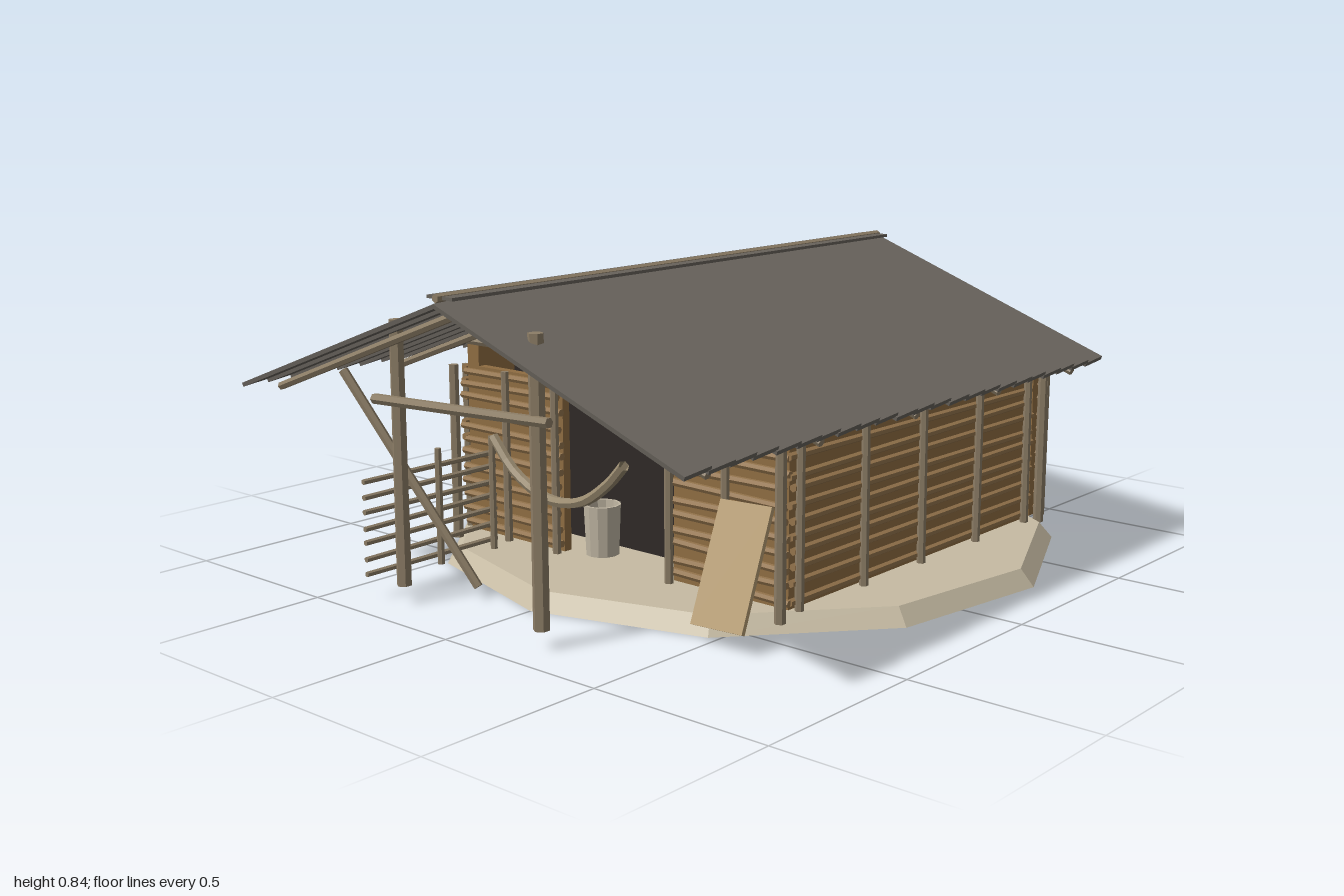
import * as THREE from 'three';

const mat = (color, extra = {}) =>
  new THREE.MeshStandardMaterial({ color, flatShading: true, ...extra });
const WOOD = mat(0x8c7d66), STICK = mat(0x94744c), MUD = mat(0x8f6d42);
const ROOF = mat(0x67625b), DARK = mat(0x2e2926), EARTH = mat(0xc6bba3);
const BOARD = mat(0xb59c72), CLAY = mat(0xbfb5a2);
const UP = new THREE.Vector3(0, 1, 0);

let seed = 7;
const jitter = (a) => {
  seed = (seed * 16807) % 2147483647;
  return (seed / 2147483647 - 0.5) * 2 * a;
};

export function createModel() {
  const model = new THREE.Group();

  const add = (name, geo, material, x = 0, y = 0, z = 0, parent = model) => {
    const m = new THREE.Mesh(geo, material);
    m.name = name;
    m.position.set(x, y, z);
    parent.add(m);
    return m;
  };
  const box = (name, x0, x1, y0, y1, z0, z1, material) =>
    add(name, new THREE.BoxGeometry(x1 - x0, y1 - y0, z1 - z0), material,
      (x0 + x1) / 2, (y0 + y1) / 2, (z0 + z1) / 2);
  // Slightly tapered six-sided pole between two points
  const pole = (name, a, b, r, material = WOOD, parent = model) => {
    const p = new THREE.Vector3(...a), q = new THREE.Vector3(...b);
    const d = q.clone().sub(p);
    const m = add(name, new THREE.CylinderGeometry(r * 0.93, r, d.length(), 6), material, 0, 0, 0, parent);
    m.position.copy(p.add(q).multiplyScalar(0.5));
    m.quaternion.setFromUnitVectors(UP, d.normalize());
    return m;
  };
  const group = (name) => {
    const g = new THREE.Group();
    g.name = name;
    model.add(g);
    return g;
  };
  // Wattle panel: stacked rails and upright stakes along one wall run;
  // at(t, y, out) turns run position, height and outward offset into a point
  const wattle = (name, at, t0, t1, stakes, rows = 12) => {
    const g = group(name);
    for (let i = 0; i < rows; i++) {
      const y = 0.07 + (i * 0.44) / (rows - 1);
      pole('rail', at(t0 + jitter(0.01), y + jitter(0.006), 0),
        at(t1 + jitter(0.01), y + jitter(0.006), 0), 0.0105, STICK, g);
    }
    for (const t of stakes)
      pole('stake', at(t, 0.045, 0.014), at(t + jitter(0.004), 0.525 + jitter(0.008), 0.014), 0.012, WOOD, g);
  };

  // Earth platform
  add('platform', new THREE.CylinderGeometry(0.838, 0.876, 0.045, 11), EARTH, 0, 0.0225, -0.158);

  // Mud walls around a dark interior
  box('interior', -0.53, 0.53, 0.045, 0.59, -0.74, 0.26, DARK);
  for (const s of [-1, 1]) {
    const [a, b] = s < 0 ? [-0.575, -0.53] : [0.53, 0.575];
    box('sideWall', a, b, 0.045, 0.6, -0.70, 0.395, MUD);
    const [c, d] = s < 0 ? [-0.55, -0.2] : [0.2, 0.55];
    box('frontWall', c, d, 0.045, 0.52, 0.37, 0.395, MUD);
  }
  const gable = (name, pts, z) => {
    const shape = new THREE.Shape(pts.map((p) => new THREE.Vector2(...p)));
    add(name, new THREE.ExtrudeGeometry(shape, { depth: 0.03, bevelEnabled: false }), MUD, 0, 0, z);
  };
  gable('backWall', [[-0.575, 0.045], [0.575, 0.045], [0.575, 0.595], [0, 0.808], [-0.575, 0.595]], -0.775);
  gable('frontGable', [[-0.575, 0.595], [0.575, 0.595], [0, 0.808]], 0.37);

  // Wattle cladding and corner posts
  for (const s of [-1, 1]) {
    wattle('sideWattle', (t, y, o) => [s * (0.584 + o), y, t], 0.40, -0.72, [0.38, 0.11, -0.15, -0.42, -0.68]);
    wattle('frontWattle', (t, y, o) => [s * t, y, 0.407 + o], 0.2, 0.58, [0.205, 0.395], 12);
    pole('cornerPost', [s * 0.585, 0.025, 0.44], [s * 0.585, 0.525, 0.44], 0.015);
    pole('cornerPost', [s * 0.59, 0.025, -0.775], [s * 0.59, 0.525, -0.775], 0.015);
  }
  wattle('backWattle', (t, y, o) => [t, y, -0.777 - o * 0.6], -0.59, 0.59,
    [-0.59, -0.354, -0.118, 0.118, 0.354, 0.59]);
  pole('tieBeam', [-0.58, 0.597, 0.42], [0.58, 0.597, 0.42], 0.012);

  // Roof: overlapping planks on each slope, rafters below
  const slope = Math.atan2(0.285, 0.775), len = Math.hypot(0.285, 0.775);
  const count = 23, step = 1.765 / count;
  for (const s of [-1, 1]) {
    const g = group(s < 0 ? 'rightRoof' : 'leftRoof');
    g.position.set(s * 0.3875, 0.675, 0);
    g.rotation.z = -s * slope;
    for (let i = 0; i < count; i++) {
      const plank = add('roofPlank', new THREE.BoxGeometry(len + jitter(0.006), 0.011, step + 0.008),
        ROOF, 0, 0, -0.765 + (i + 0.5) * step, g);
      plank.rotation.x = 0.12;
    }
    for (const z of [0.9, 0.5, 0.11, -0.27, -0.65])
      pole('rafter', [0, 0.79, z], [s * 0.75, 0.512, z], 0.012);
    const cap = box('ridgeBoard', -0.023, 0.023, -0.004, 0.004, -0.755, 0.985, ROOF);
    cap.position.x = s * 0.022;
    cap.position.y = 0.83;
  }
  pole('ridgePole', [0, 0.83, -0.765], [0, 0.83, 0.998], 0.012);

  // Porch posts, lintel and brace
  pole('porchPost', [-0.30, 0.045, 0.875], [-0.302, 0.735, 0.87], 0.02);
  pole('porchPost', [0.22, 0.045, 0.89], [0.22, 0.76, 0.89], 0.021);
  pole('porchBeam', [-0.36, 0.53, 0.9], [0.28, 0.56, 0.91], 0.014);
  pole('brace', [-0.56, 0.57, 0.84], [-0.18, 0.03, 0.73], 0.013);

  // Porch fence
  const fence = group('fence');
  for (const z of [0.5, 0.69])
    pole('fencePost', [-0.37, 0.045, z], [-0.37, 0.362, z], 0.01, WOOD, fence);
  for (let i = 0; i < 7; i++)
    pole('fenceRail', [-0.388, 0.07 + i * 0.04 + jitter(0.004), 0.475],
      [-0.388, 0.07 + i * 0.04 + jitter(0.004), 0.925], 0.008, WOOD, fence);

  // Hammock slung across the porch
  const sling = new THREE.CatmullRomCurve3([
    [-0.285, 0.385, 0.57], [-0.2, 0.305, 0.575], [-0.06, 0.26, 0.595],
    [0.1, 0.285, 0.63], [0.23, 0.36, 0.665], [0.305, 0.422, 0.69],
  ].map((p) => new THREE.Vector3(...p)));
  add('hammock', new THREE.TubeGeometry(sling, 18, 0.014, 6), mat(0x9a8b70, { side: THREE.DoubleSide }));

  // Leaning board
  const board = add('leaningBoard', new THREE.BoxGeometry(0.158, 0.31, 0.012), BOARD, 0.538, 0.19, 0.565);
  board.rotation.set(-0.42, 0, 0.04);

  // Water jar in the doorway
  const jar = [[0, 0], [0.046, 0], [0.052, 0.14], [0.045, 0.14], [0.04, 0.02], [0, 0.02]];
  add('jar', new THREE.LatheGeometry(jar.map((p) => new THREE.Vector2(...p)), 12), CLAY, -0.11, 0.045, 0.34);

  return model;
}
